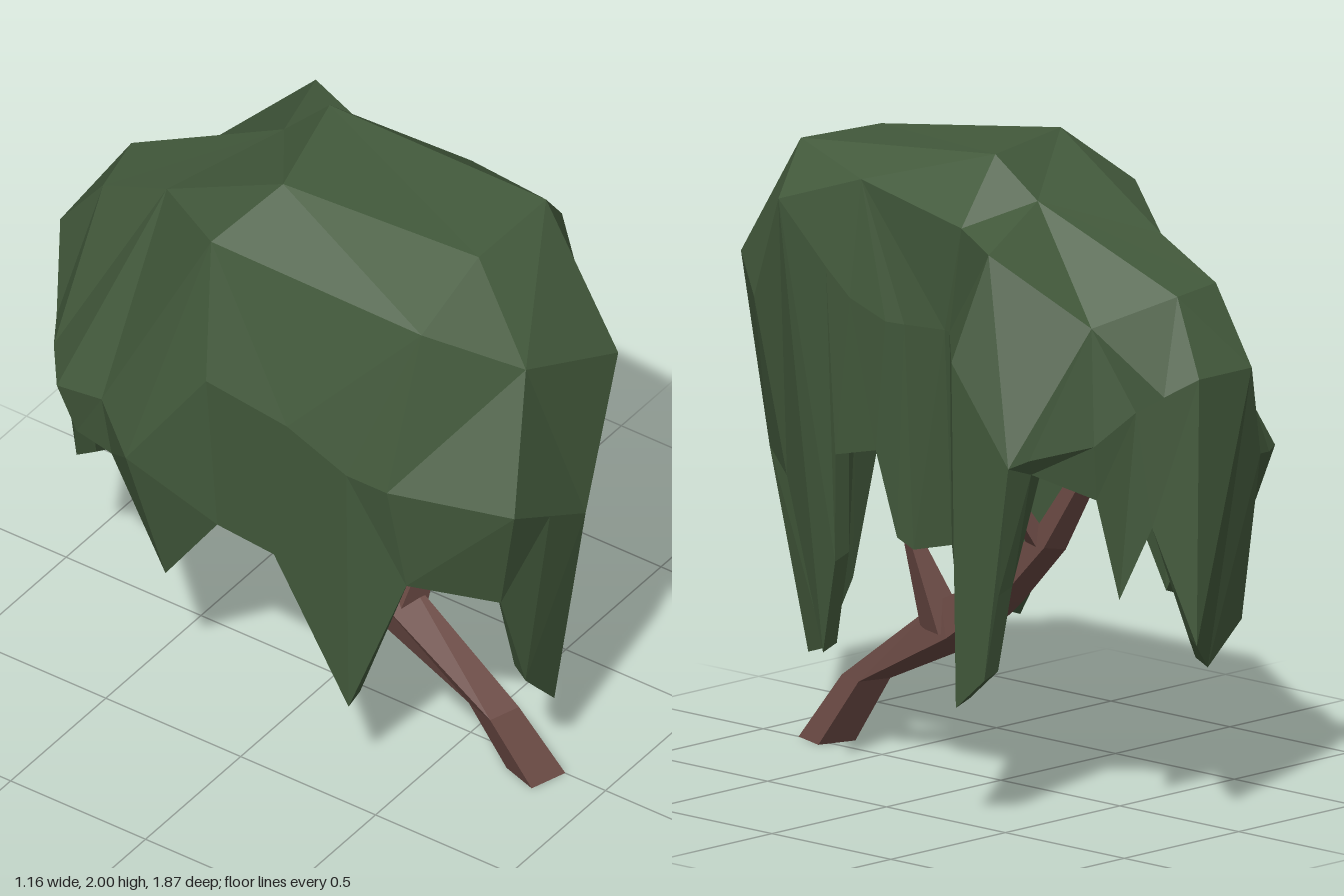
import * as THREE from 'three';

const leafGreen = new THREE.MeshStandardMaterial({ color: 0x435a3c, flatShading: true });
leafGreen.name = 'leaf green';
const barkBrown = new THREE.MeshStandardMaterial({ color: 0x6b4a44, flatShading: true });
barkBrown.name = 'bark brown';

// Skins a list of rings, ordered from top to bottom, each running anticlockwise seen from above
function loft(rings, material, name) {
  const pos = [];
  const tri = (a, b, c) => {
    if (a.distanceTo(b) < 1e-5 || b.distanceTo(c) < 1e-5 || a.distanceTo(c) < 1e-5) return;
    for (const p of [a, b, c]) pos.push(p.x, p.y, p.z);
  };
  for (let i = 0; i < rings.length - 1; i++) {
    const n = rings[i].length;
    for (let j = 0; j < n; j++) {
      const k = (j + 1) % n;
      const a = rings[i][j], b = rings[i + 1][j], c = rings[i + 1][k], d = rings[i][k];
      // Split each quad along its shorter diagonal
      if (a.distanceTo(c) < b.distanceTo(d)) { tri(a, b, c); tri(a, c, d); } else { tri(a, b, d); tri(b, c, d); }
    }
  }
  const geo = new THREE.BufferGeometry();
  geo.setAttribute('position', new THREE.Float32BufferAttribute(pos, 3));
  geo.computeVertexNormals();
  const mesh = new THREE.Mesh(geo, material);
  mesh.name = name;
  return mesh;
}

// Corners of the roof; the last three form the ridge
const ROOF = [
  [-0.10, 1.93, 0.60], [0.24, 1.94, 0.61], [0.33, 1.88, 0.27], [0.38, 1.81, -0.20],
  [0.49, 1.78, -0.42], [0.30, 1.56, -0.67], [0.06, 1.64, -0.80], [-0.16, 1.64, -0.75],
  [-0.18, 1.75, -0.50], [-0.40, 1.83, -0.18], [-0.40, 1.82, 0.60], [-0.22, 1.69, 0.86],
  [0.18, 2.00, -0.15], [-0.22, 2.00, -0.04], [0.14, 1.87, -0.29],
];
// The higher corner that each outer roof corner climbs to
const RIDGE = [0, 1, 12, 12, 14, 14, 14, 14, 13, 13, 13, 0];

// Shoulder of each strand from the front round by +x: x, y, z, roof corner above it
const SHOULDER = [
  [-0.02, 1.05, 0.94, 11], [0.18, 1.53, 0.92, 1], [0.32, 1.44, 0.73, 1], [0.38, 1.78, 0.57, 1],
  [0.38, 1.60, 0.37, 2], [0.38, 1.52, 0.27, 2], [0.38, 1.47, 0.12, 2], [0.37, 1.47, 0.05, 2],
  [0.37, 1.48, -0.12, 2], [0.38, 1.48, -0.15, 3],
  [0.58, 1.45, -0.35, 4], [0.58, 1.45, -0.35, 4], [0.56, 1.15, -0.57, 4], [0.56, 1.15, -0.57, 4],
  [0.50, 1.17, -0.60, 5], [0.32, 1.20, -0.70, 5], [0.21, 1.30, -0.77, 5], [0.16, 1.35, -0.84, 6],
  [0.10, 1.41, -0.93, 6],
  [-0.13, 1.41, -0.93, 6], [-0.22, 1.12, -0.88, 7], [-0.32, 1.10, -0.82, 8], [-0.46, 1.08, -0.71, 8],
  [-0.48, 1.12, -0.53, 8], [-0.58, 1.03, -0.37, 9], [-0.54, 1.42, -0.10, 9], [-0.54, 1.38, 0.20, 10],
  [-0.54, 1.29, 0.42, 10], [-0.54, 1.29, 0.57, 10], [-0.38, 1.25, 0.93, 11], [-0.20, 1.15, 0.935, 11],
];
// Lower end of each strand, in the same order
const HEM = [
  [0.00, 0.27, 0.81], [0.20, 0.95, 0.78], [0.27, 0.89, 0.64], [0.32, 0.38, 0.44],
  [0.35, 0.68, 0.36], [0.37, 1.02, 0.34], [0.37, 1.06, 0.17], [0.36, 0.80, 0.09],
  [0.35, 0.77, 0.03], [0.38, 0.82, -0.16],
  [0.43, 0.44, -0.26], [0.55, 0.37, -0.34], [0.54, 0.47, -0.45], [0.53, 0.74, -0.50],
  [0.47, 1.12, -0.58], [0.30, 1.03, -0.69], [0.22, 0.71, -0.71], [0.17, 0.94, -0.80],
  [0.10, 0.58, -0.92],
  [0.00, 0.49, -0.87], [-0.20, 0.60, -0.82], [-0.30, 0.92, -0.77], [-0.44, 0.92, -0.65],
  [-0.47, 0.92, -0.50], [-0.47, 0.55, -0.30], [-0.51, 0.86, -0.08], [-0.51, 0.84, 0.13],
  [-0.50, 0.37, 0.40], [-0.48, 0.91, 0.60], [-0.31, 0.84, 0.83], [-0.18, 0.46, 0.83],
];

function crown() {
  const v = (p) => new THREE.Vector3(p[0], p[1], p[2]);
  // Hem moved towards the spine of the crown, at a new height
  const inset = (distance, height) => HEM.map(([x, y, z]) => {
    const spine = new THREE.Vector3(-0.05, 0, THREE.MathUtils.clamp(z, -0.5, 0.5));
    const p = new THREE.Vector3(x, 0, z);
    p.addScaledVector(spine.sub(p).normalize(), distance);
    return p.setY(height(y));
  });
  return loft([
    SHOULDER.map(() => v(ROOF[12])),
    SHOULDER.map((s) => v(ROOF[RIDGE[s[3]]])),
    SHOULDER.map((s) => v(ROOF[s[3]])),
    SHOULDER.map(v),
    HEM.map(v),
    inset(0.06, (y) => y + 0.02),
    inset(0.09, () => 1.16),
    SHOULDER.map(() => new THREE.Vector3(-0.05, 1.45, 0)),
  ], leafGreen, 'hangingCrown');
}

// Tapered four-sided limb along a few points: x, y, z, radius; its first two sections lie level
function limb(points, name) {
  const sides = 4;
  const centres = points.map((p) => new THREE.Vector3(p[0], p[1], p[2]));
  const rings = centres.map((c, i) => {
    const t = new THREE.Vector3(0, 1, 0);
    if (i > 1) t.subVectors(centres[Math.min(i + 1, centres.length - 1)], centres[i - 1]).normalize();
    const u = new THREE.Vector3(1, 0, 0).addScaledVector(t, -t.x).normalize();
    const w = new THREE.Vector3().crossVectors(u, t);
    return Array.from({ length: sides }, (_, k) => {
      const a = ((k + 0.3) / sides) * Math.PI * 2;
      return c.clone().addScaledVector(u, Math.sin(a) * points[i][3]).addScaledVector(w, Math.cos(a) * points[i][3]);
    });
  });
  // End caps
  rings.unshift(rings[0].map(() => centres[0].clone()));
  rings.push(rings[0].map(() => centres[centres.length - 1].clone()));
  return loft(rings.reverse(), barkBrown, name);
}

export function createModel() {
  const tree = new THREE.Group();
  tree.name = 'weepingTree';
  tree.add(crown());
  // Leaning trunk with its side branches
  tree.add(limb([
    [-0.04, 0, 0.77, 0.09], [-0.07, 0.21, 0.635, 0.077], [-0.05, 0.45, 0.22, 0.09],
    [-0.03, 0.59, 0.0, 0.06], [-0.01, 0.78, -0.2, 0.055], [0, 1.22, -0.5, 0.025],
  ], 'trunk'));
  tree.add(limb([[-0.04, 0.42, 0.27, 0.08], [0.02, 0.68, 0.34, 0.035], [0.1, 1.2, 0.4, 0.02]], 'frontBranch'));
  tree.add(limb([[-0.02, 0.74, -0.16, 0.045], [0.1, 0.95, -0.11, 0.03], [0.16, 1.25, -0.07, 0.02]], 'sideBranch'));
  tree.add(limb([[-0.01, 0.85, -0.24, 0.04], [-0.15, 1.0, -0.25, 0.03], [-0.28, 1.22, -0.25, 0.02]], 'innerBranch'));
  return tree;
}
